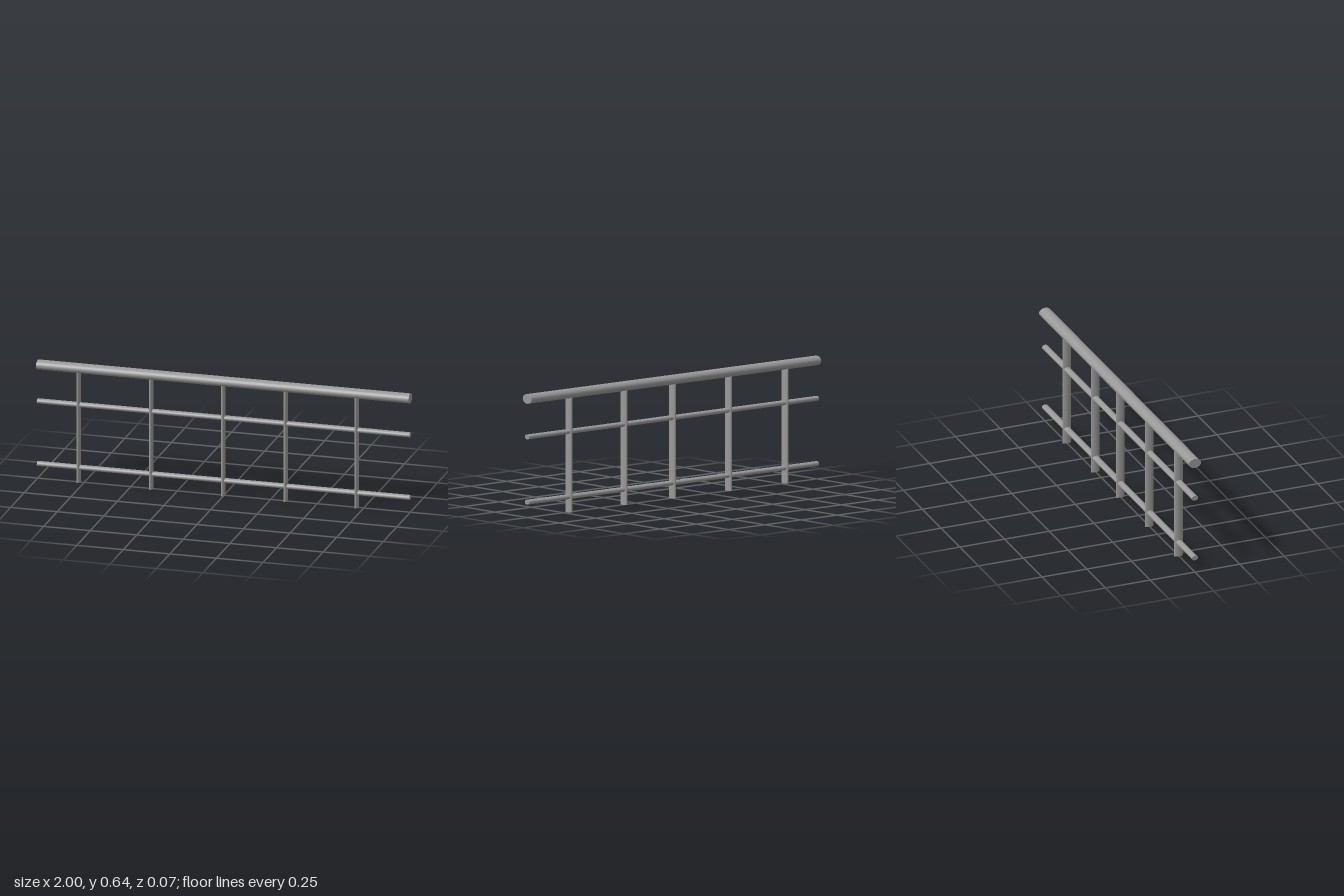
import * as THREE from 'three';

export function createModel() {
  const group = new THREE.Group();
  group.name = 'railing';
  const steel = new THREE.MeshStandardMaterial({ color: 0x999999 });
  steel.name = 'grey steel';

  // Horizontal oval bar running the full width
  function addBar(name, y, radiusY, radiusZ) {
    const geometry = new THREE.CylinderGeometry(1, 1, 2, 40);
    geometry.rotateZ(Math.PI / 2);
    geometry.scale(1, radiusY, radiusZ);
    const bar = new THREE.Mesh(geometry, steel);
    bar.name = name;
    bar.position.y = y;
    group.add(bar);
  }

  addBar('handrail', 0.618, 0.025, 0.034);
  addBar('middleRail', 0.42, 0.0128, 0.0178);
  addBar('lowerRail', 0.08, 0.0128, 0.0178);

  // Upright oval posts, tucked into the underside of the handrail
  const postHeight = 0.605;
  const postGeometry = new THREE.CylinderGeometry(1, 1, postHeight, 40);
  postGeometry.scale(0.01, 1, 0.024);
  [-0.78, -0.39, -0.003, 0.332, 0.712].forEach((x, i) => {
    const post = new THREE.Mesh(postGeometry, steel);
    post.name = `post${i + 1}`;
    post.position.set(x, postHeight / 2, 0);
    group.add(post);
  });

  return group;
}
